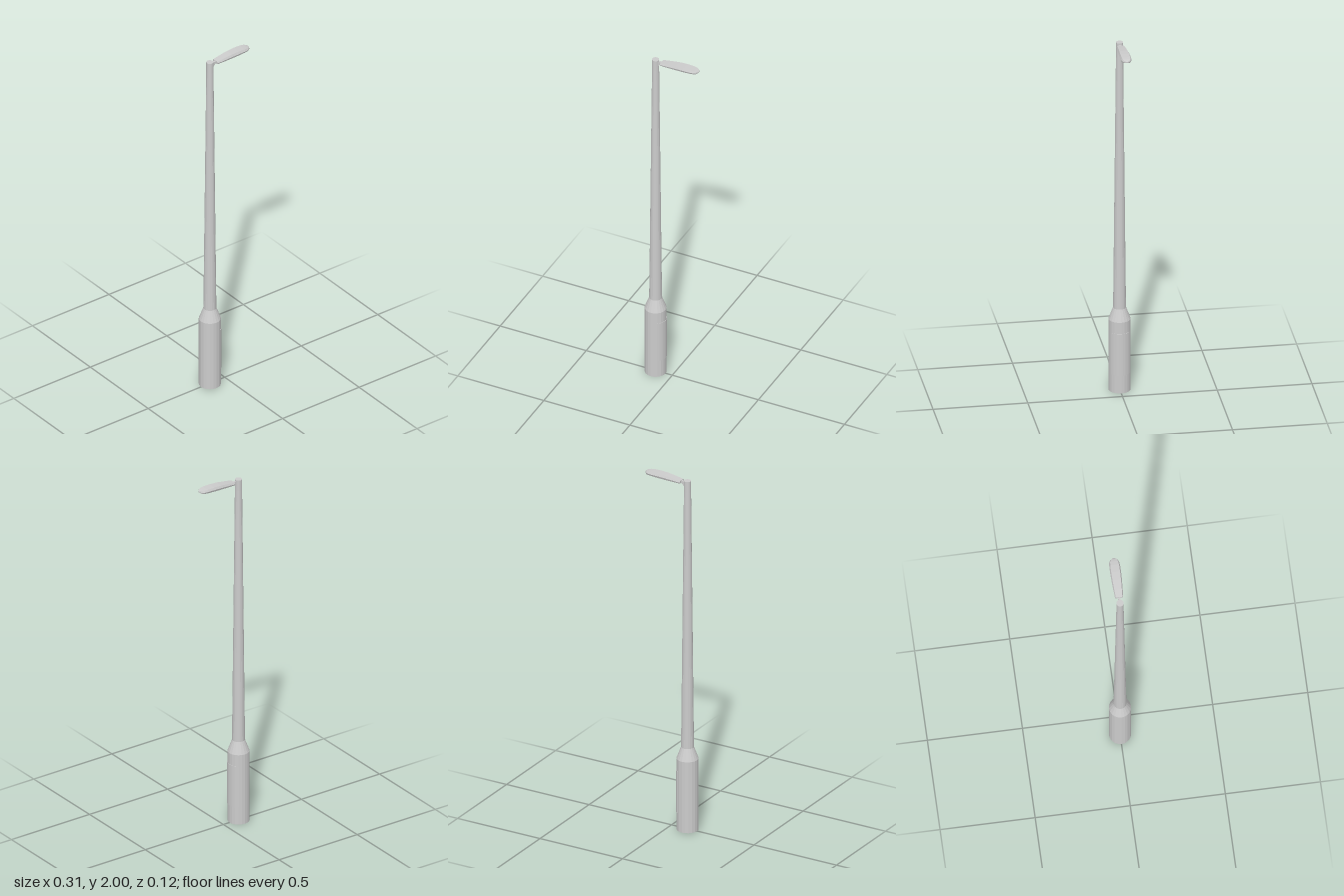
import * as THREE from 'three';

const POLE_X = -0.097;
const SIDES = 20;

// Loft of six-sided cross-sections along x: [x, halfWidth, yBottom, yRim, yTop]
function loftHead(stations) {
  const pos = [], idx = [], n = 6;
  for (const [x, w, yb, yr, yt] of stations) {
    const b = w * 0.86, t = w * 0.8;
    pos.push(x, yb, -b, x, yr, -w, x, yt, -t, x, yt, t, x, yr, w, x, yb, b);
  }
  const last = (stations.length - 1) * n;
  for (let s = 0; s < last; s += n) {
    for (let j = 0; j < n; j++) {
      const k = (j + 1) % n;
      idx.push(s + j, s + k, s + n + j, s + k, s + n + k, s + n + j);
    }
  }
  for (let j = 1; j < n - 1; j++) {
    idx.push(0, j + 1, j, last, last + j, last + j + 1);
  }
  const geo = new THREE.BufferGeometry();
  geo.setAttribute('position', new THREE.Float32BufferAttribute(pos, 3));
  geo.setIndex(idx);
  geo.computeVertexNormals();
  return geo;
}

export function createModel() {
  const model = new THREE.Group();
  model.name = 'streetLamp';
  const material = new THREE.MeshStandardMaterial({ color: 0xcccccc, flatShading: true });

  const add = (name, geometry, x = 0, y = 0, z = 0) => {
    const mesh = new THREE.Mesh(geometry, material);
    mesh.name = name;
    mesh.position.set(x, y, z);
    model.add(mesh);
    return mesh;
  };

  // Wide base, shoulder and tapering shaft, turned as one closed profile
  const profile = [
    [0, 0], [0.058, 0], [0.058, 0.405], [0.034, 0.47],
    [0.019, 1.93], [0.019, 1.99], [0, 1.99],
  ].map(([r, y]) => new THREE.Vector2(r, y));
  add('pole', new THREE.LatheGeometry(profile, SIDES), POLE_X);

  // Curved access door, slightly proud of the base on the lamp side
  const half = 0.98;
  const arc = new THREE.Shape();
  arc.absarc(0, 0, 0.0595, -half, half, false);
  arc.absarc(0, 0, 0.053, half, -half, true);
  const door = new THREE.ExtrudeGeometry(arc, { depth: 0.24, bevelEnabled: false, curveSegments: 6 });
  door.rotateX(-Math.PI / 2);
  add('accessDoor', door, POLE_X, 0.1);

  // Thin wedge bracket joining the lamp to the pole
  const wedge = new THREE.Shape([
    [-0.085, 1.955], [-0.077, 1.957], [-0.064, 1.972], [-0.056, 1.975],
    [-0.056, 1.983], [-0.085, 1.983],
  ].map(([x, y]) => new THREE.Vector2(x, y)));
  add('bracket', new THREE.ExtrudeGeometry(wedge, { depth: 0.012, bevelEnabled: false }), 0, 0, -0.006);

  // Slim lamp head, widening outward to a rounded nose
  add('lampHead', loftHead([
    [-0.062, 0.0215, 1.972, 1.978, 1.986],
    [-0.02, 0.0245, 1.973, 1.982, 1.992],
    [0.03, 0.0275, 1.975, 1.986, 1.998],
    [0.075, 0.029, 1.977, 1.988, 2.0],
    [0.115, 0.0285, 1.979, 1.988, 1.999],
    [0.135, 0.0255, 1.98, 1.988, 1.997],
    [0.146, 0.019, 1.981, 1.988, 1.995],
    [0.152, 0.011, 1.983, 1.988, 1.993],
    [0.155, 0.004, 1.985, 1.988, 1.991],
  ]));

  return model;
}
